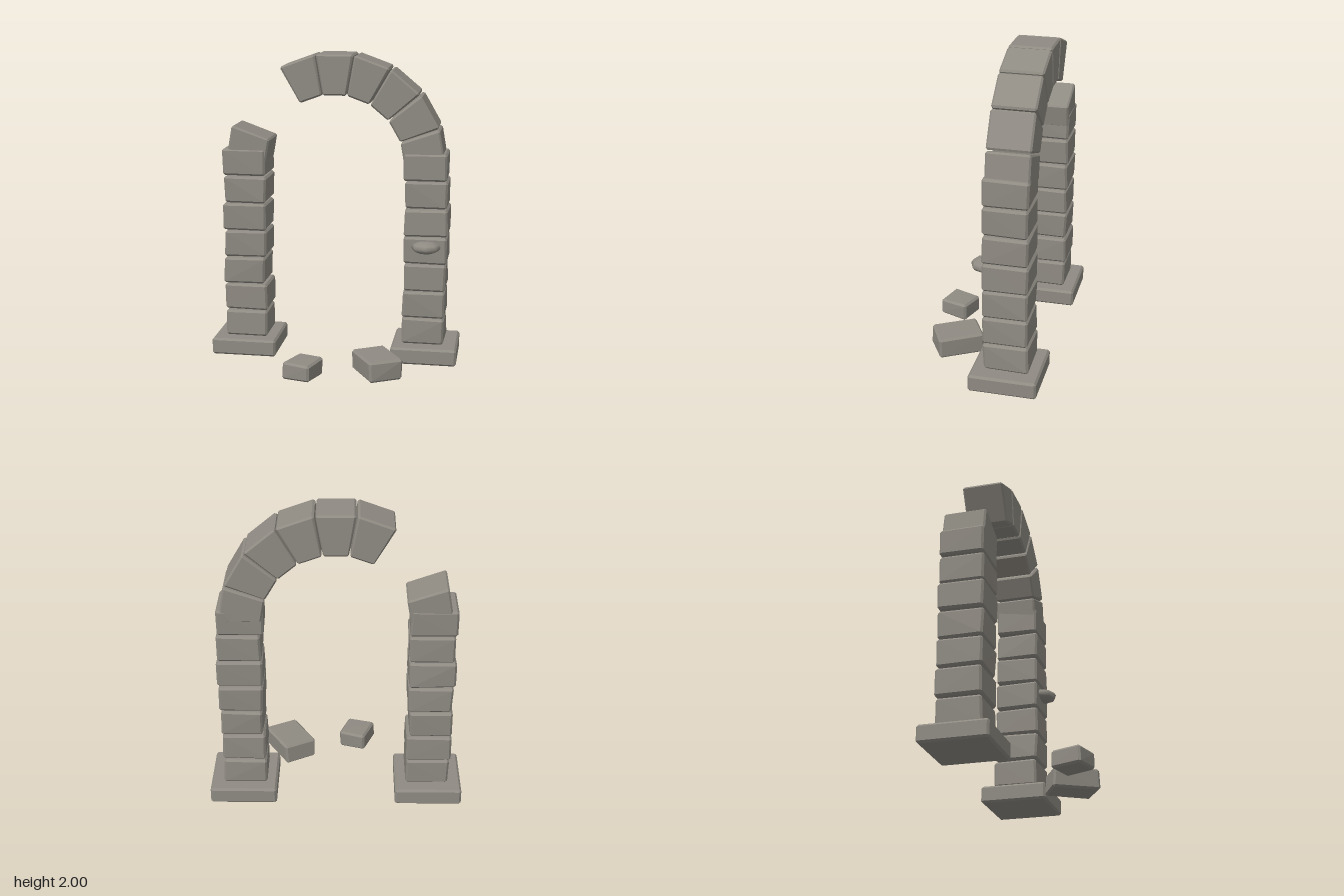
import * as THREE from 'three';
import { ConvexGeometry } from 'three/addons/geometries/ConvexGeometry.js';

const DEPTH_Z = -0.215; // centre line of the arch

export function createModel() {
  const model = new THREE.Group();
  model.name = 'ruinedArch';
  const stone = new THREE.MeshStandardMaterial({ color: 0x8f8b83 });
  stone.name = 'weathered stone';

  let seed = 7;
  const jitter = (amount) => {
    seed = (seed * 16807) % 2147483647;
    return (seed / 2147483647 - 0.5) * 2 * amount;
  };

  // Chamfered block: each corner becomes three points, optionally roughened and warped
  function block(name, w, h, d, { chamfer = 0.013, rough = 0, warp } = {}) {
    const half = [w / 2, h / 2, d / 2];
    const points = [];
    for (const sx of [-1, 1]) for (const sy of [-1, 1]) for (const sz of [-1, 1]) {
      const sign = [sx, sy, sz];
      const shift = new THREE.Vector3(jitter(rough), jitter(rough * 0.6), jitter(rough));
      for (let axis = 0; axis < 3; axis++) {
        const c = half.map((v, i) => sign[i] * (i === axis ? v : v - chamfer));
        const p = new THREE.Vector3(...c).add(shift);
        if (warp) warp(p);
        points.push(p);
      }
    }
    const mesh = new THREE.Mesh(new ConvexGeometry(points), stone);
    mesh.name = name;
    model.add(mesh);
    return mesh;
  }

  // Two pillars: plinth and seven rough courses, given as left and right x extents
  const courses = {
    rightPillar: [[-0.727, -0.447], [-0.732, -0.447], [-0.737, -0.46], [-0.727, -0.448],
      [-0.74, -0.452], [-0.727, -0.448], [-0.739, -0.447]],
    leftPillar: [[0.442, 0.722], [0.448, 0.722], [0.457, 0.727], [0.452, 0.736],
      [0.453, 0.736], [0.456, 0.727], [0.438, 0.727]],
  };
  for (const [name, rows] of Object.entries(courses)) {
    const side = name === 'leftPillar' ? 1 : -1;
    block(name + 'Plinth', 0.427, 0.11, 0.427).position.set(side * 0.595, 0.066, DEPTH_Z);
    rows.forEach(([x0, x1], i) => {
      block(name + 'Block' + (i + 1), x1 - x0 - 0.004, 0.173, 0.28, { rough: 0.005 })
        .position.set((x0 + x1) / 2, 0.213 + i * 0.181, DEPTH_Z + jitter(0.003));
    });
  }

  // Wedge stones of the broken arch; the gap lies at -40 and -60 degrees
  const inner = 0.45, outer = 0.712, step = THREE.MathUtils.degToRad(20);
  const midRadius = (inner + outer) / 2;
  const width = 2 * midRadius * Math.sin(step / 2);
  const wedge = (p) => {
    const r = midRadius + p.y;
    p.x *= (r * Math.sin(step / 2) - 0.004) / (width / 2);
    p.y = r * Math.cos(step / 2);
  };
  for (const n of [-4, -1, 0, 1, 2, 3, 4]) {
    const mesh = block('archStone' + (n + 5), width, outer - inner, 0.27, { chamfer: 0.011, warp: wedge });
    mesh.position.set(0, 1.3, -0.22);
    mesh.rotation.z = -n * step;
  }

  // Fallen stones in front
  const small = block('fallenStoneSmall', 0.18, 0.112, 0.205, { rough: 0.007 });
  small.position.set(-0.136, 0.063, 0.304);
  small.rotation.y = -0.33;
  const large = block('fallenStoneLarge', 0.22, 0.135, 0.296, { rough: 0.006 });
  large.position.set(0.319, 0.076, 0.191);
  large.rotation.y = 0.52;

  // Rounded lump clinging to the left pillar
  const lump = new THREE.Mesh(new THREE.SphereGeometry(1, 8, 6), stone);
  lump.name = 'pillarLump';
  lump.scale.set(0.095, 0.04, 0.09);
  lump.position.set(0.597, 0.785, -0.068);
  model.add(lump);

  return model;
}
